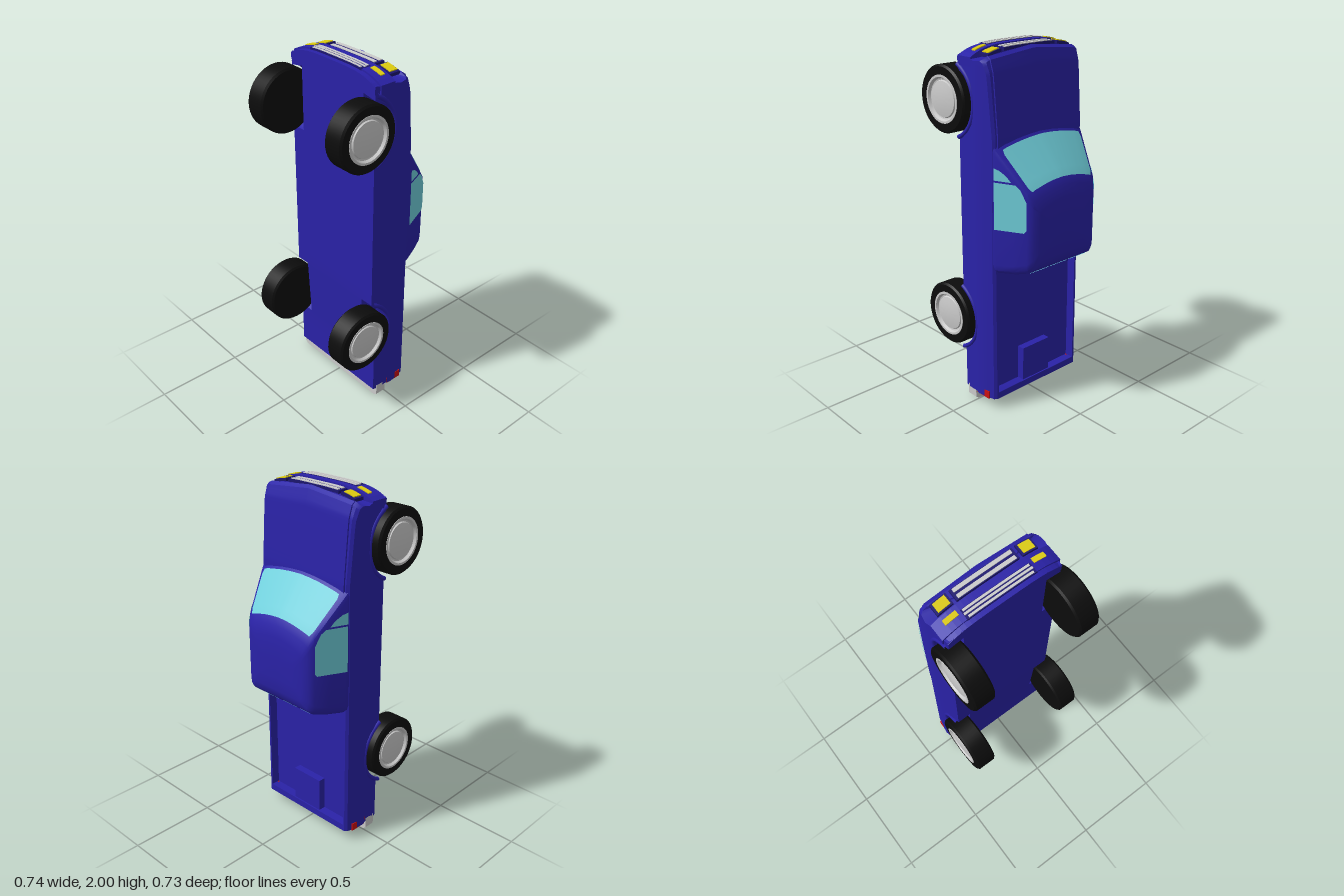
import * as THREE from 'three';
import { toCreasedNormals } from 'three/addons/utils/BufferGeometryUtils.js';

const mat = (color, side = THREE.FrontSide) => new THREE.MeshStandardMaterial({ color, side });
const blue = mat(0x2a22a8), grey = mat(0xcccccc), black = mat(0x0c0c0c);
const yellow = mat(0xdccb10), red = mat(0xcc1111), dark = mat(0x1c1670);
const glass = mat(0x70d0dc, THREE.DoubleSide);

// Linear lookup in a table of [key, value] with rising keys
function look(table, k) {
  if (k <= table[0][0]) return table[0][1];
  for (let i = 1; i < table.length; i++) {
    const [a, va] = table[i - 1], [b, vb] = table[i];
    if (k <= b) return va + (vb - va) * (k - a) / (b - a);
  }
  return table[table.length - 1][1];
}

// Skin over closed rings of points, with fan caps
function loft(rings, crease = 0.5) {
  const n = rings[0].length, pos = rings.flat(2), idx = [];
  for (let j = 0; j < rings.length - 1; j++) for (let i = 0; i < n; i++) {
    const a = j * n + i, b = j * n + (i + 1) % n;
    idx.push(a, b, a + n, b, b + n, a + n);
  }
  [0, rings.length - 1].forEach((j, end) => {
    const c = pos.length / 3;
    for (let k = 0; k < 3; k++) pos.push(rings[j].reduce((s, p) => s + p[k], 0) / n);
    for (let i = 0; i < n; i++) {
      const a = j * n + i, b = j * n + (i + 1) % n;
      idx.push(...(end ? [a, b, c] : [b, a, c]));
    }
  });
  const g = new THREE.BufferGeometry();
  g.setAttribute('position', new THREE.Float32BufferAttribute(pos, 3));
  g.setIndex(idx);
  return toCreasedNormals(g, crease);
}
// Half ring (first and last point on x = 0) to full ring
const mirrorRing = half => [...half, ...half.slice(1, -1).reverse().map(([x, y, z]) => [-x, y, z])];

const wheelY = [0.49, 1.71], wheelZ = 0.19, archR = 0.2, archHalf = 0.183;
const drop = x => 0.05 * (Math.abs(x) / 0.33) ** 4; // bow of the nose

// Lower body: sections along y, with wheel arches and sunken bed
const topZ = [[0.06, -0.15], [0.85, -0.15], [1.55, -0.155], [1.9, -0.125], [1.97, -0.105], [1.985, -0.085]];
const widthAt = [[-0.155, 0.313], [-0.09, 0.328], [-0.035, 0.337], [0, 0.328], [0.06, 0.328], [0.11, 0.317]];
function bodySection(y) {
  const t = look(topZ, y), u = look([[0.3, 0.09], [0.68, 0.11]], y);
  let b = u;
  for (const wy of wheelY) {
    const d = y - wy;
    if (Math.abs(d) < archHalf) b = Math.min(b, wheelZ - Math.sqrt(archR * archR - d * d));
  }
  const floor = y > 0.0995 && y < 0.8405 ? -0.1 : y > 0.85 ? t - 0.006 : t;
  const half = [[0, u], [0.235, u], [0.235, b]];
  for (const level of [b, 0.06, 0, -0.035, -0.09, t + 0.012]) {
    const z = Math.min(b, Math.max(t + 0.012, level));
    half.push([look(widthAt, z), z]);
  }
  half.push([look(widthAt, t) - 0.012, t], [0.292, t], [0.29, floor], [0, floor]);
  const k = THREE.MathUtils.smoothstep(y, 1.8, 1.98);
  return mirrorRing(half.map(([x, z]) => [x, y - drop(x) * k, z]));
}
function bodyGeometry() {
  const ys = [0.06, 0.099, 0.1, 0.2, 0.75, 0.84, 0.841, 1, 1.2, 1.4, 1.92, 1.95, 1.97, 1.98, 1.985];
  for (const wy of wheelY) for (let i = 0; i <= 20; i++) ys.push(wy - archHalf * Math.cos(Math.PI * i / 20));
  return loft(ys.sort((a, b) => a - b).map(bodySection));
}

// Cab: sections rising to the roof, given by height above the belt (-z)
const cabRear = [[0.13, 0.83], [0.16, 0.83], [0.25, 0.84], [0.32, 0.86], [0.345, 0.885], [0.357, 0.93], [0.362, 1]];
const cabFront = [[0.13, 1.59], [0.16, 1.55], [0.25, 1.435], [0.32, 1.345], [0.345, 1.3], [0.357, 1.24], [0.362, 1.17]];
const cabHalf = [[0.13, 0.317], [0.16, 0.31], [0.25, 0.272], [0.32, 0.242], [0.345, 0.22], [0.357, 0.18], [0.362, 0.12]];
const cabBow = [[0, 0], [0.25, 0.004], [0.5, 0.013], [0.8, 0.03], [0.93, 0.042], [0.985, 0.055], [1, 0.08]];
function cabSection(h) {
  const yf = look(cabFront, h), yr = look(cabRear, h), w = look(cabHalf, h);
  const half = cabBow.map(([u, d]) => [u * w, yf - d, -h]);
  half.push([w, yr + 0.05, -h], [0.98 * w, yr + 0.018, -h], [0.92 * w, yr, -h], [0, yr, -h]);
  return mirrorRing(half);
}

// Glass sheet over a cab face; x and y come from the face rule
function glassSheet(u0, u1, h0, h1, face) {
  const g = new THREE.PlaneGeometry(1, 1, 20, 10), p = g.attributes.position;
  for (let i = 0; i < p.count; i++) {
    const v = p.getY(i) + 0.5, edge = Math.abs(v - 0.5) > 0.49 ? 0.97 : 1;
    const mid = (u0 + u1) / 2, u = mid + p.getX(i) * (u1 - u0) * edge, h = h0 + (h1 - h0) * v;
    p.setXYZ(i, u * look(cabHalf, h), face(u, h), -h - 0.003);
  }
  g.computeVertexNormals();
  return g;
}
const windshieldFace = (u, h) => look(cabFront, h) - look(cabBow, Math.abs(u)) + 0.004;
const rearFace = (u, h) => look(cabRear, h) - 0.004;

// Side pane: outline in (y, height) laid on the leaning door
function sidePane(points, side) {
  const g = new THREE.ShapeGeometry(new THREE.Shape(points.map(p => new THREE.Vector2(...p)))), p = g.attributes.position;
  for (let i = 0; i < p.count; i++) {
    const y = p.getX(i), h = p.getY(i);
    p.setXYZ(i, side * (0.316 - 0.425 * (h - 0.16)), y, -h);
  }
  g.computeVertexNormals();
  return g;
}

// Box bent along the bow of the nose
function nosePart(x, z, w, h, y, depth = 0.016) {
  const g = new THREE.BoxGeometry(w, depth, h, 12, 1, 1).translate(x, y, z), p = g.attributes.position;
  for (let i = 0; i < p.count; i++) p.setY(i, p.getY(i) - drop(p.getX(i)));
  return g;
}
// Outline in xy extruded from z0 to z1
const slab = (pts, z0, z1) => new THREE.ExtrudeGeometry(new THREE.Shape(pts.map(p => new THREE.Vector2(...p))),
  { depth: z1 - z0, bevelEnabled: false }).translate(0, 0, z0);
const lathe = pts => toCreasedNormals(new THREE.LatheGeometry(pts.map(p => new THREE.Vector2(...p)), 48), 0.6).rotateZ(-Math.PI / 2);

export function createModel() {
  const model = new THREE.Group();
  const add = (name, geometry, material, parent = model) => {
    const m = new THREE.Mesh(geometry, material);
    m.name = name;
    parent.add(m);
    return m;
  };
  const box = (w, h, d, x, y, z) => new THREE.BoxGeometry(w, h, d).translate(x, y, z);

  add('body', bodyGeometry(), blue);
  add('cab', loft(cabHalf.map(([h]) => cabSection(h)), 0.6), blue);
  add('bedBox', box(0.2, 0.2, 0.045, 0, 0.2, -0.12), blue);

  // Windows
  add('windshield', glassSheet(-0.92, 0.92, 0.172, 0.325, windshieldFace), glass);
  for (let i = -1; i <= 1; i++) add('rearWindow', glassSheet(i * 0.56 - 0.27, i * 0.56 + 0.27, 0.2, 0.31, rearFace), glass);
  const doorPane = [[1.08, 0.155], [1.335, 0.155], [1.335, 0.265], [1.315, 0.29], [1.25, 0.322], [1.1, 0.322], [1.085, 0.31]];
  const ventPane = [[1.345, 0.155], [1.41, 0.155], [1.4, 0.185], [1.375, 0.22], [1.345, 0.245]];
  for (const s of [1, -1]) {
    add('doorWindow', sidePane(doorPane, s), glass);
    add('ventWindow', sidePane(ventPane, s), glass);
  }

  // Front bumper, grilles and lamps
  const front = [];
  for (let i = 0; i <= 24; i++) { const x = 0.33 - 0.66 * i / 24; front.push([x, 1.994 - drop(x)]); }
  add('frontBumper', slab([[-0.33, 1.895], [0.33, 1.895], ...front], -0.005, 0.085), blue);
  add('bumperLip', slab([[-0.317, 1.9], [0.317, 1.9], ...front.map(([x, y]) => [x * 0.965, y - 0.008])], 0.085, 0.113), blue);
  add('grilleRecess', nosePart(0, -0.048, 0.35, 0.062, 1.979), dark);
  for (const z of [-0.065, -0.031]) add('grilleBar', nosePart(0, z, 0.325, 0.02, 1.983), grey);
  add('lowerGrilleRecess', nosePart(0, 0.059, 0.385, 0.058, 1.988), dark);
  [[0.039, 0.37], [0.058, 0.38], [0.078, 0.36]].forEach(([z, w]) => add('lowerGrilleBar', nosePart(0, z, w, 0.012, 1.991), grey));
  for (const s of [1, -1]) {
    add('headlampFrame', nosePart(s * 0.237, -0.049, 0.088, 0.064, 1.98), dark);
    add('headlamp', nosePart(s * 0.237, -0.049, 0.066, 0.05, 1.985), yellow);
    add('turnSignal', nosePart(s * 0.245, 0.031, 0.072, 0.028, 1.991), yellow);
    add('tailLamp', box(0.05, 0.045, 0.1, s * 0.306, 0.078, -0.06), red);
  }

  // Rear bumper with a step in the middle
  add('rearBumper', slab([[-0.31, 0], [0.31, 0], [0.328, 0.015], [0.328, 0.08], [0.3, 0.065], [0.2, 0.058], [0.13, 0.03],
    [-0.13, 0.03], [-0.2, 0.058], [-0.3, 0.065], [-0.328, 0.08], [-0.328, 0.015]], 0.005, 0.07), grey);

  // Wheels and arch flares
  const tyre = lathe([[0, -0.06], [0.168, -0.06], [0.178, -0.05], [0.178, 0.05], [0.168, 0.06], [0.125, 0.06], [0.12, 0.045], [0, 0.04]]);
  const hub = lathe([[0.127, 0.05], [0.126, 0.062], [0.114, 0.062], [0.106, 0.048], [0.098, 0.046], [0.094, 0.054], [0.06, 0.06], [0, 0.063]]);
  const flare = new THREE.TorusGeometry(archR + 0.006, 0.012, 8, 32, 2.3).rotateZ(-1.15).rotateY(Math.PI / 2);
  for (const y of wheelY) for (const s of [1, -1]) {
    const wheel = new THREE.Group();
    wheel.name = 'wheel';
    wheel.position.set(s * 0.305, y, wheelZ);
    if (s < 0) wheel.rotation.y = Math.PI;
    add('tyre', tyre, black, wheel);
    add('hub', hub, grey, wheel);
    model.add(wheel);
    add('archFlare', flare, blue).position.set(s * 0.325, y, wheelZ);
  }
  return model;
}
